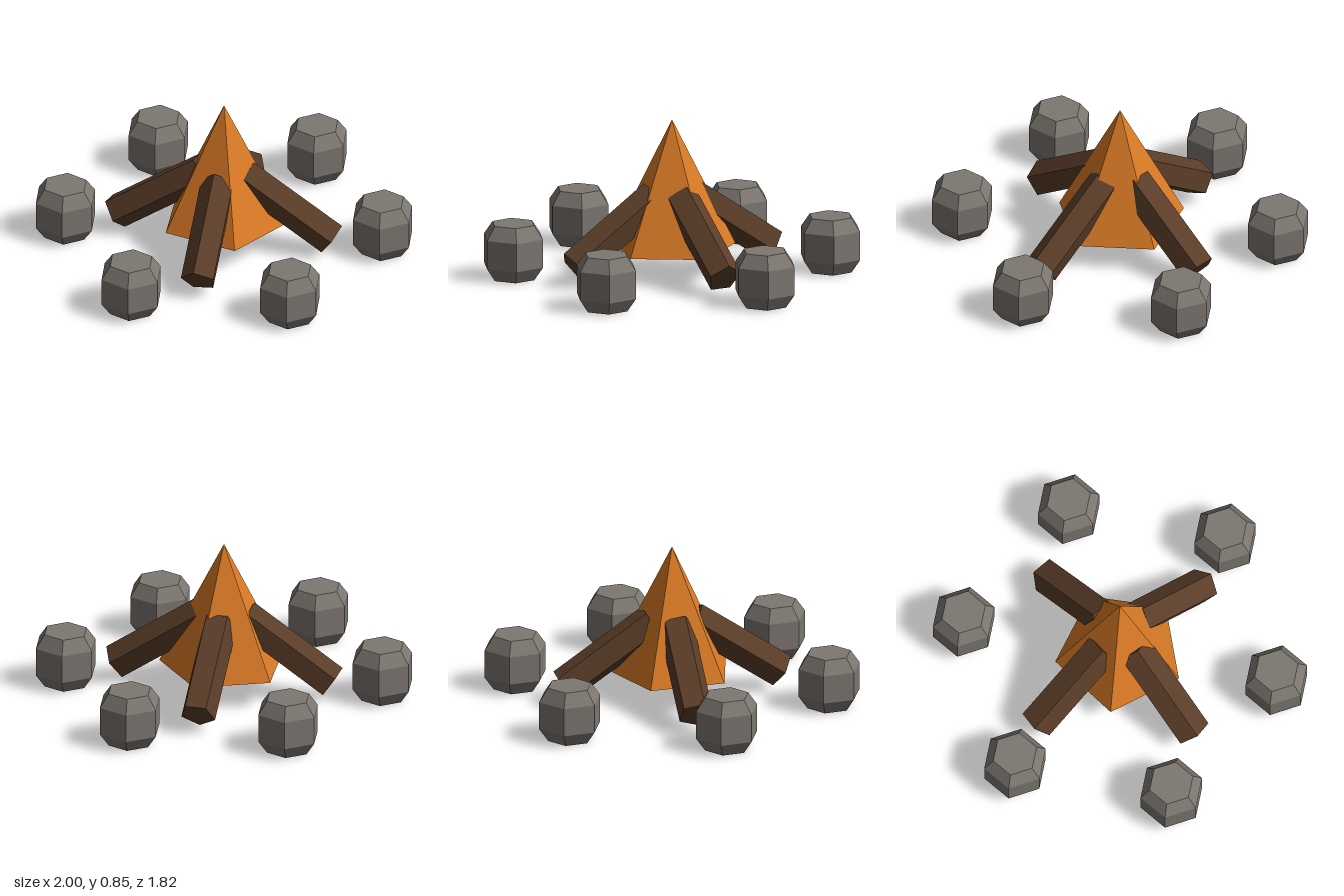
import * as THREE from 'three';

const flat = (name, color) => {
  const m = new THREE.MeshStandardMaterial({ color, flatShading: true });
  m.name = name;
  return m;
};

export function createModel() {
  const group = new THREE.Group();
  const stoneGrey = flat('stoneGrey', 0x7d7771);
  const barkBrown = flat('barkBrown', 0x5a3d28);
  const flameOrange = flat('flameOrange', 0xd97a26);

  const add = (name, geometry, material) => {
    const mesh = new THREE.Mesh(geometry, material);
    mesh.name = name;
    group.add(mesh);
    return mesh;
  };

  // Ring of six bevelled hexagonal stones
  const profile = [[0, 0], [0.122, 0], [0.173, 0.073], [0.173, 0.227], [0.122, 0.3], [0, 0.3]]
    .map(([r, y]) => new THREE.Vector2(r, y));
  const stoneGeometry = new THREE.LatheGeometry(profile, 6);
  for (let i = 0; i < 6; i++) {
    const a = (i * Math.PI) / 3;
    add('stone', stoneGeometry, stoneGrey).position.set(0.85 * Math.cos(a), 0, 0.85 * Math.sin(a));
  }

  // Four five-sided logs leaning on the flame, each rolled differently about its axis
  const rolls = [0, 36, 23, -10];
  rolls.forEach((roll, i) => {
    const geometry = new THREE.CylinderGeometry(0.097, 0.097, 0.585, 5)
      .rotateY(THREE.MathUtils.degToRad(roll))
      .rotateX(-0.971)
      .translate(0, 0.27, 0.35);
    add('log', geometry, barkBrown).rotation.y = Math.PI / 8 + (i * Math.PI) / 2;
  });

  // Five-sided flame
  const flame = add('flame', new THREE.ConeGeometry(0.35, 0.7, 5), flameOrange);
  flame.position.y = 0.5;
  flame.rotation.y = THREE.MathUtils.degToRad(27);

  return group;
}
